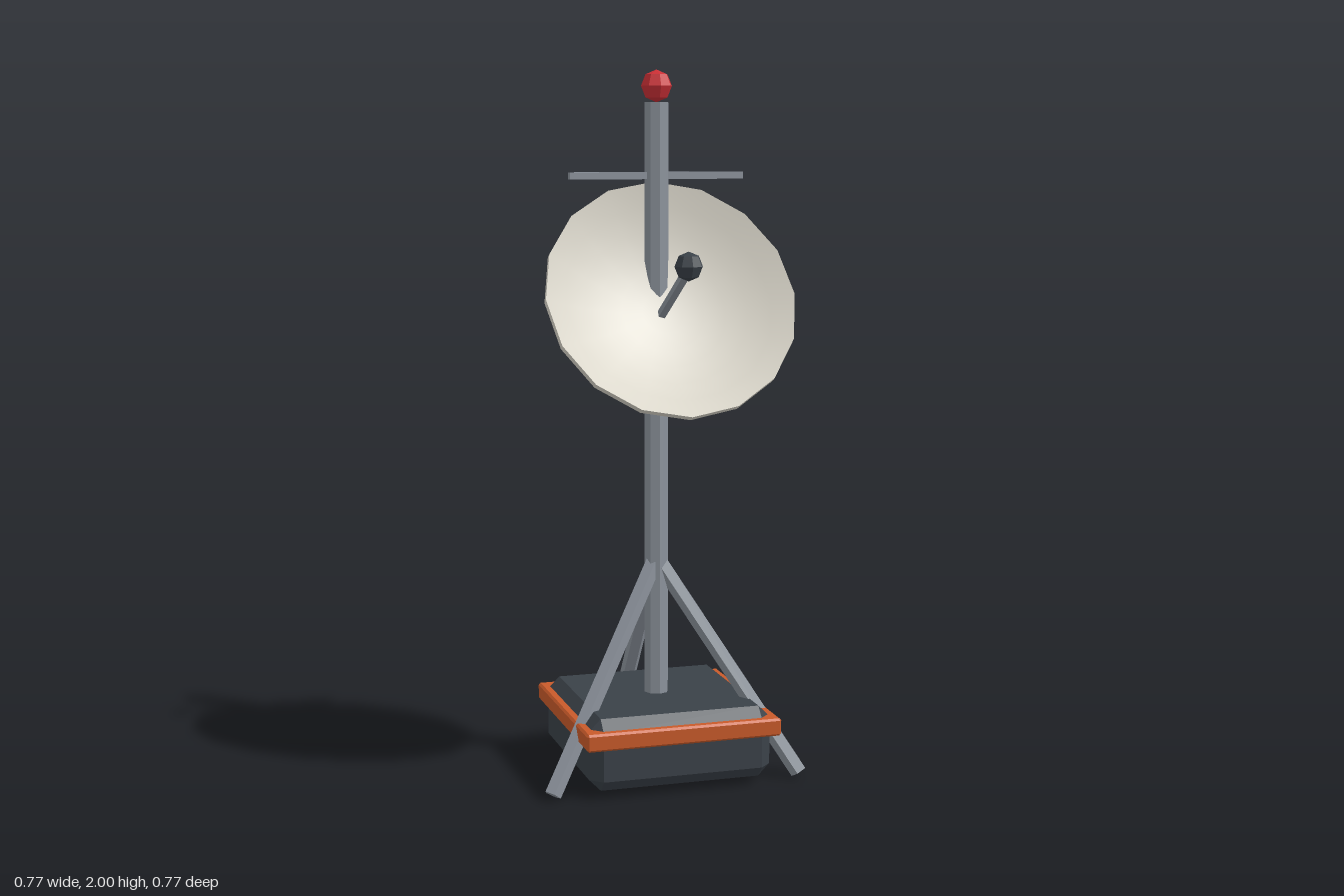
import * as THREE from 'three';
import { toCreasedNormals } from 'three/addons/utils/BufferGeometryUtils.js';
import { ConvexGeometry } from 'three/addons/geometries/ConvexGeometry.js';

const material = (name, color) => {
  const m = new THREE.MeshStandardMaterial({ color });
  m.name = name;
  return m;
};

// Box with every edge cut by one flat bevel
function chamferBox(w, h, d, bevel) {
  const pts = [];
  for (const sx of [-1, 1]) for (const sy of [-1, 1]) for (const sz of [-1, 1])
    for (let axis = 0; axis < 3; axis++) {
      const inset = [bevel, bevel, bevel];
      inset[axis] = 0;
      pts.push(new THREE.Vector3(
        sx * (w / 2 - inset[0]), sy * (h / 2 - inset[1]), sz * (d / 2 - inset[2])));
    }
  return new ConvexGeometry(pts);
}

const faceted = (geometry) => toCreasedNormals(geometry, 0.2);

// Faceted rod along y with one corner on +x
const rod = (radius, length, sides) => faceted(
  new THREE.CylinderGeometry(radius, radius, length, sides, 1, false, Math.PI / 2));

export function createModel() {
  const metal = material('galvanised metal', 0x8c939c);
  const dark = material('dark casing', 0x3a4148);
  const orange = material('orange trim', 0xc85a2a);
  const cream = material('cream dish', 0xd9d5c9);
  const red = material('red lamp', 0xcc3036);

  const model = new THREE.Group();
  model.name = 'dishAntenna';
  const add = (parent, name, geometry, mat, x = 0, y = 0, z = 0) => {
    const mesh = new THREE.Mesh(geometry, mat);
    mesh.name = name;
    mesh.position.set(x, y, z);
    parent.add(mesh);
    return mesh;
  };
  const cz = 0.05; // depth of the mast axis

  // Base case and its trim band
  add(model, 'baseCase', chamferBox(0.53, 0.205, 0.53, 0.034), dark, 0, 0.1225, cz);
  add(model, 'trimBand', chamferBox(0.566, 0.05, 0.566, 0.006), orange, 0, 0.172, cz);

  // Mast, crossbar and lamp
  add(model, 'mast', rod(0.035, 1.75, 8), metal, 0, 1.035, cz);
  add(model, 'crossbar', new THREE.BoxGeometry(0.505, 0.02, 0.02), metal, 0, 1.708, cz);
  add(model, 'lamp', faceted(new THREE.SphereGeometry(0.045, 8, 4)), red, 0, 1.955, cz);

  // Three legs, one to the rear and two to the front corners
  const reach = 0.42, foot = 0.014, top = 0.624;
  for (let i = 0; i < 3; i++) {
    const pivot = new THREE.Group();
    pivot.name = 'leg' + (i + 1);
    pivot.position.z = cz;
    pivot.rotation.y = (i * Math.PI * 2) / 3;
    const leg = add(pivot, 'legTube', rod(0.025, Math.hypot(reach, top - foot), 5), metal,
      0, (top + foot) / 2, -reach / 2);
    leg.rotation.x = Math.atan2(reach, top - foot);
    model.add(pivot);
  }

  // Tilted dish assembly, facing its local +z
  const dish = new THREE.Group();
  dish.name = 'dishAssembly';
  dish.position.set(0, 1.38, 0.203);
  dish.rotation.x = -Math.PI / 6;
  model.add(dish);

  // Shell profile: back surface outwards, rim, then front surface inwards
  const R = 0.358, depth = 0.11, thick = 0.02, steps = 6;
  const profile = [];
  const bowl = (t, offset) => new THREE.Vector2(R * t, depth * (t * t - 1) - offset);
  for (let i = 0; i <= steps; i++) profile.push(bowl(i / steps, thick));
  for (let i = steps; i >= 0; i--) profile.push(bowl(i / steps, 0));
  const shell = new THREE.LatheGeometry(profile, 16).rotateX(Math.PI / 2);
  add(dish, 'dishShell', toCreasedNormals(shell, 0.6), cream);

  // Feed arm and receiver
  add(dish, 'feedArm', rod(0.015, 0.28, 5).rotateX(Math.PI / 2), metal, 0, 0, 0.025);
  add(model, 'receiver', faceted(new THREE.SphereGeometry(0.04, 8, 4)), dark, 0, 1.472, 0.345);

  return model;
}
